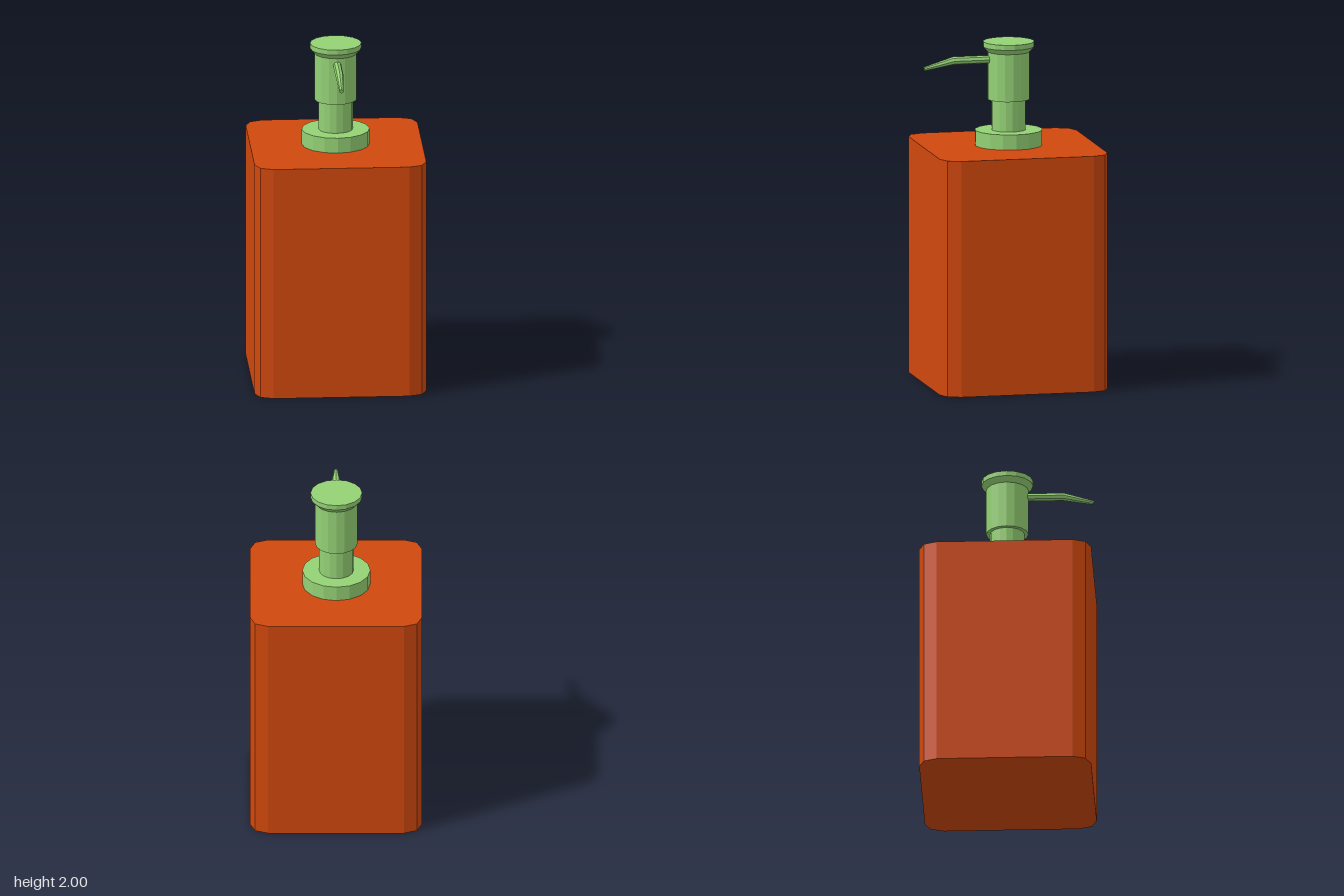
import * as THREE from 'three';

const SIDES = 16;

export function createModel() {
  const model = new THREE.Group();
  model.name = 'soapDispenser';

  const orange = new THREE.MeshStandardMaterial({ color: 0xd0480d, flatShading: true });
  orange.name = 'orange';
  const green = new THREE.MeshStandardMaterial({ color: 0x94d175, flatShading: true });
  green.name = 'green';

  const add = (name, geometry, material) => {
    const mesh = new THREE.Mesh(geometry, material);
    mesh.name = name;
    model.add(mesh);
    return mesh;
  };

  // Bottle: square prism with two-step bevelled corners
  const outline = [];
  for (let i = 0; i < 4; i++) {
    for (const [x, y] of [[0.5, 0.395], [0.47, 0.47], [0.395, 0.5]]) {
      outline.push(new THREE.Vector2(x, y).rotateAround(new THREE.Vector2(), i * Math.PI / 2));
    }
  }
  const bottle = new THREE.ExtrudeGeometry(new THREE.Shape(outline), { depth: 1.39, bevelEnabled: false });
  bottle.rotateX(-Math.PI / 2);
  add('bottle', bottle, orange);

  // Pump parts, each a closed turned profile of [radius, height]
  const turned = (name, profile) => {
    const points = [[0, profile[0][1]], ...profile, [0, profile[profile.length - 1][1]]];
    const geometry = new THREE.LatheGeometry(points.map(([r, y]) => new THREE.Vector2(r, y)), SIDES);
    add(name, geometry, green).position.set(-0.002, 0, -0.004);
  };
  turned('collar', [[0.198, 1.385], [0.198, 1.48]]);
  turned('stem', [[0.1, 1.47], [0.1, 1.67]]);
  turned('pumpHead', [[0.123, 1.66], [0.123, 1.94], [0.15, 1.97], [0.15, 2]]);

  // Spout: straight, then tapering and drooping; one entry per ring
  const rings = [
    { z: 0.08, y: 1.897, r: 0.024, lean: 0 },
    { z: 0.325, y: 1.897, r: 0.024, lean: -0.12 },
    { z: 0.499, y: 1.855, r: 0.012, lean: -0.25 },
  ];
  const spout = new THREE.CylinderGeometry(1, 1, 2, 8, 2);
  spout.rotateX(Math.PI / 2);
  const pos = spout.attributes.position;
  for (let i = 0; i < pos.count; i++) {
    const ring = rings[Math.round(pos.getZ(i)) + 1];
    const up = pos.getY(i) * ring.r;
    pos.setXYZ(i, pos.getX(i) * ring.r, ring.y + up, ring.z - up * ring.lean);
  }
  spout.computeVertexNormals();
  add('spout', spout, green);

  return model;
}
